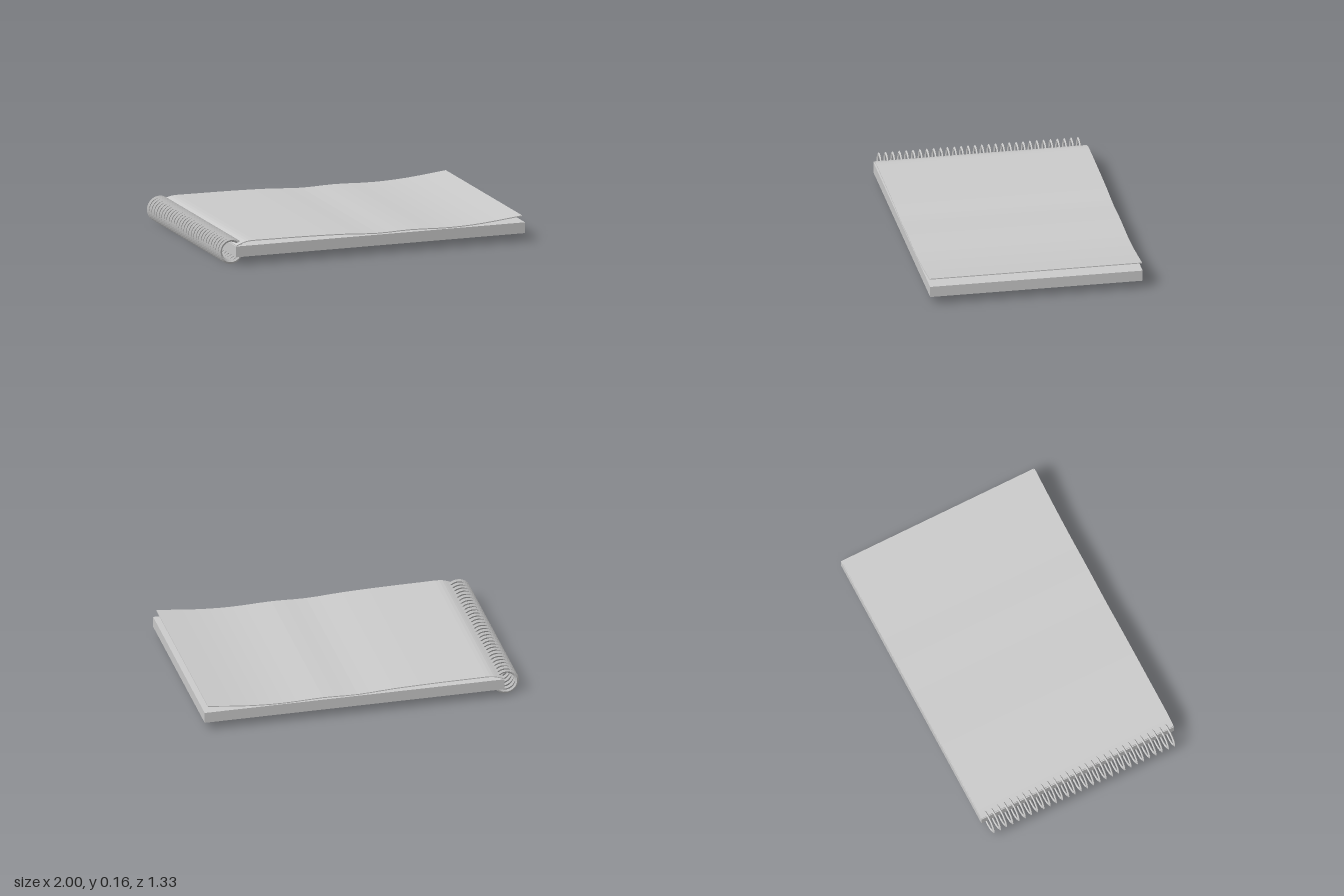
import * as THREE from 'three';

const material = new THREE.MeshStandardMaterial({ color: 0xcccccc, flatShading: true });
const DEPTH = 1.33;

function addMesh(parent, geometry, name) {
  const mesh = new THREE.Mesh(geometry, material);
  mesh.name = name;
  parent.add(mesh);
  return mesh;
}

// Thin wavy sheet: a smooth side profile thickened and extruded along z
function coverGeometry() {
  const thickness = 0.006;
  const curve = new THREE.SplineCurve([
    [-0.895, 0.119], [-0.86, 0.133], [-0.81, 0.144], [-0.7, 0.144], [-0.45, 0.142],
    [-0.2, 0.136], [0.03, 0.124], [0.25, 0.129], [0.5, 0.122], [0.72, 0.131], [0.98, 0.158],
  ].map(([x, y]) => new THREE.Vector2(x, y)));
  const lower = curve.getPoints(30);
  const upper = lower.map((p) => new THREE.Vector2(p.x, p.y + thickness)).reverse();
  const geometry = new THREE.ExtrudeGeometry(new THREE.Shape([...lower, ...upper]), {
    depth: DEPTH, bevelEnabled: false,
  });
  return geometry.translate(0, 0, -DEPTH / 2);
}

export function createModel() {
  const model = new THREE.Group();
  model.name = 'spiralNotebook';

  // Solid block of pages
  const pages = addMesh(model, new THREE.BoxGeometry(1.9, 0.068, DEPTH), 'pageBlock');
  pages.position.set(0.05, 0.084, 0);

  // Loose top cover
  addMesh(model, coverGeometry(), 'frontCover');

  // Row of binding rings with a slim diamond section
  const binding = new THREE.Group();
  binding.name = 'ringBinding';
  model.add(binding);
  const ringGeometry = new THREE.TorusGeometry(0.07, 0.012, 4, 28).scale(1, 1, 0.55);
  const ringCount = 30;
  for (let i = 0; i < ringCount; i++) {
    const ring = addMesh(binding, ringGeometry, 'bindingRing');
    ring.position.set(-0.918, 0.083, -0.625 + (1.247 * i) / (ringCount - 1));
  }

  return model;
}
